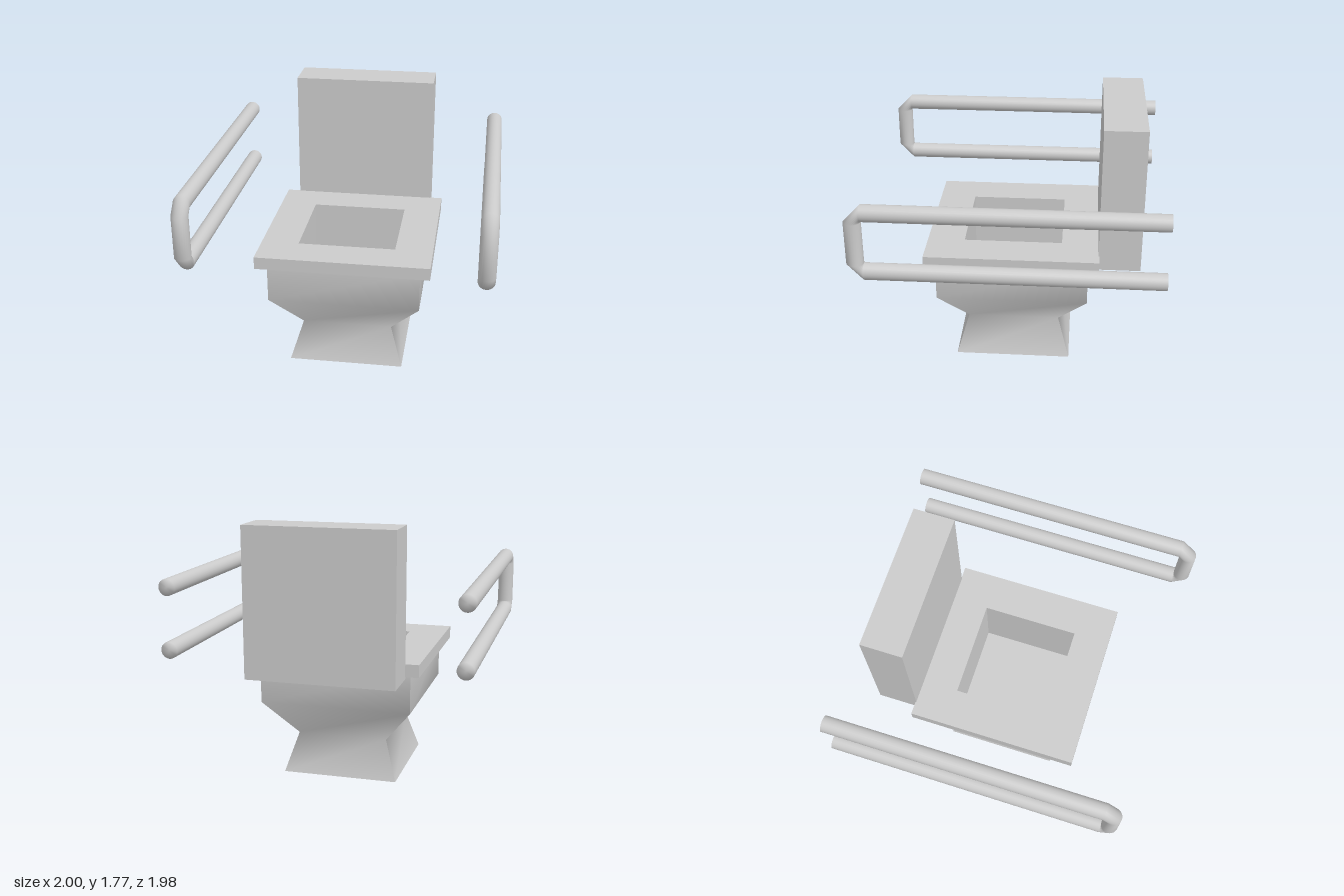
import * as THREE from 'three';
import { toCreasedNormals } from 'three/addons/utils/BufferGeometryUtils.js';

const material = new THREE.MeshStandardMaterial({ color: 0xcccccc });

function addMesh(parent, name, geometry, x = 0, y = 0, z = 0) {
  const mesh = new THREE.Mesh(geometry, material);
  mesh.name = name;
  mesh.position.set(x, y, z);
  parent.add(mesh);
  return mesh;
}

// Skins closed rings of equal point count, each counterclockwise about the path direction
function loft(rings) {
  const n = rings[0].length;
  const index = [];
  for (let i = 0; i < rings.length - 1; i++) {
    for (let j = 0; j < n; j++) {
      const a = i * n + j, b = i * n + (j + 1) % n;
      index.push(a, b, b + n, a, b + n, a + n);
    }
  }
  const geometry = new THREE.BufferGeometry().setFromPoints(rings.flat());
  geometry.setIndex(index);
  geometry.computeVertexNormals();
  return geometry;
}

// Square pedestal and bowl, with an open well inside: [half width, half depth, height]
function bowlGeometry() {
  const sections = [
    [0, 0, 0], [0.395, 0.395, 0], [0.31, 0.315, 0.27], [0.515, 0.51, 0.53], [0.515, 0.51, 0.8],
    [0.33, 0.33, 0.8], [0.33, 0.33, 0.4], [0, 0, 0.4],
  ];
  const corners = [[1, -1], [-1, -1], [-1, 1], [1, 1]];
  const rings = sections.map(([hx, hz, y]) =>
    corners.map(([sx, sz]) => new THREE.Vector3(sx * hx, y, sz * hz)));
  return toCreasedNormals(loft(rings), 1.05);
}

// Square seat plate with a square opening
function seatGeometry() {
  const rectangle = (hx, hz) =>
    [[-hx, -hz], [hx, -hz], [hx, hz], [-hx, hz]].map(([x, y]) => new THREE.Vector2(x, y));
  const shape = new THREE.Shape(rectangle(0.585, 0.58));
  shape.holes.push(new THREE.Path(rectangle(0.33, 0.33).reverse()));
  return new THREE.ExtrudeGeometry(shape, { depth: 0.085, bevelEnabled: false }).rotateX(-Math.PI / 2);
}

// U-shaped round bar with chamfered bends: [y, z, direction y, direction z, radius]
function railGeometry() {
  const r = 0.055, sides = 24;
  const stations = [
    [1.385, -0.99, 0, 1, 0], [1.385, -0.99, 0, 1, r], [1.385, 0.88, 0, 1, r],
    [1.325, 0.935, -1, 0, r], [1.04, 0.935, -1, 0, r],
    [0.98, 0.88, 0, -1, r], [0.98, -0.99, 0, -1, r], [0.98, -0.99, 0, -1, 0],
  ];
  const across = new THREE.Vector3(1, 0, 0);
  const rings = stations.map(([y, z, ty, tz, radius]) => {
    const normal = new THREE.Vector3(0, ty, tz).cross(across);
    return Array.from({ length: sides }, (_, k) => {
      const a = (k / sides) * Math.PI * 2;
      return new THREE.Vector3(0, y, z)
        .addScaledVector(across, Math.cos(a) * radius)
        .addScaledVector(normal, Math.sin(a) * radius);
    });
  });
  return loft(rings);
}

export function createModel() {
  const model = new THREE.Group();
  model.name = 'accessibleToilet';

  addMesh(model, 'bowl', bowlGeometry());
  addMesh(model, 'seat', seatGeometry(), 0, 0.8, 0);
  addMesh(model, 'tank', new THREE.BoxGeometry(0.99, 0.99, 0.28), 0, 1.28, -0.715);

  // Grab rails on both sides
  const rail = railGeometry();
  addMesh(model, 'leftGrabRail', rail, 0.945);
  addMesh(model, 'rightGrabRail', rail, -0.945);

  return model;
}
